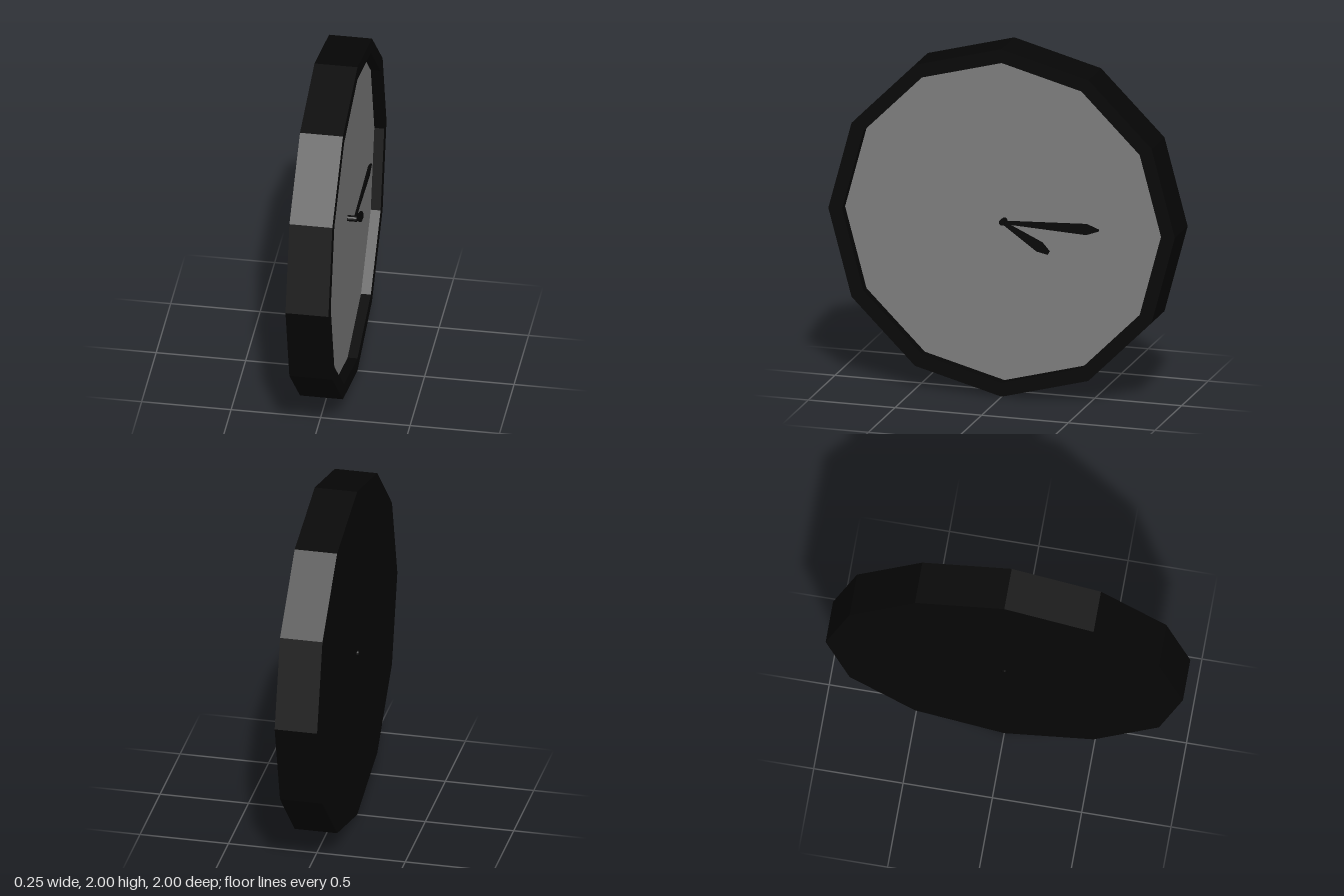
import * as THREE from 'three';

const SIDES = 12;

export function createModel() {
  const clock = new THREE.Group();
  clock.name = 'wallClock';
  const black = new THREE.MeshStandardMaterial({ color: 0x060606, flatShading: true });
  const grey = new THREE.MeshStandardMaterial({ color: 0x808080, flatShading: true });

  const add = (name, geometry, material) => {
    const mesh = new THREE.Mesh(geometry, material);
    mesh.name = name;
    mesh.position.y = 1;
    clock.add(mesh);
    return mesh;
  };

  // Casing: closed back, outer wall, rim and recessed inner wall, facing +x
  const profile = [[0, -0.115], [1, -0.115], [1, 0.125], [0.92, 0.125], [0.92, 0.068]]
    .map(([r, x]) => new THREE.Vector2(r, x));
  add('casing', new THREE.LatheGeometry(profile, SIDES).rotateZ(-Math.PI / 2), black);

  // Dial set inside the rim
  const dial = add('dial', new THREE.CircleGeometry(0.92, SIDES).rotateY(Math.PI / 2), grey);
  dial.position.x = 0.07;

  // Shaft running through the casing from the back to the hands
  add('shaft', new THREE.CylinderGeometry(0.017, 0.017, 0.247, 12).rotateZ(-Math.PI / 2), black)
    .position.x = -0.0015;

  // Tapered hands: narrow at the shaft, widest near the end, then a blunt tip
  const addHand = (name, shoulder, length, tip, angle) => {
    const shape = new THREE.Shape([
      [0, -0.008], [shoulder, -0.031], [length, -tip],
      [length, tip], [shoulder, 0.031], [0, 0.008],
    ].map(([x, y]) => new THREE.Vector2(x, y)));
    const geometry = new THREE.ExtrudeGeometry(shape, { depth: 0.01, bevelEnabled: false });
    geometry.rotateZ(angle).rotateY(Math.PI / 2);
    add(name, geometry, black).position.x = 0.105;
  };
  addHand('minuteHand', 0.485, 0.555, 0.005, 0);
  addHand('hourHand', 0.247, 0.308, 0.011, -Math.PI / 6);

  return clock;
}
